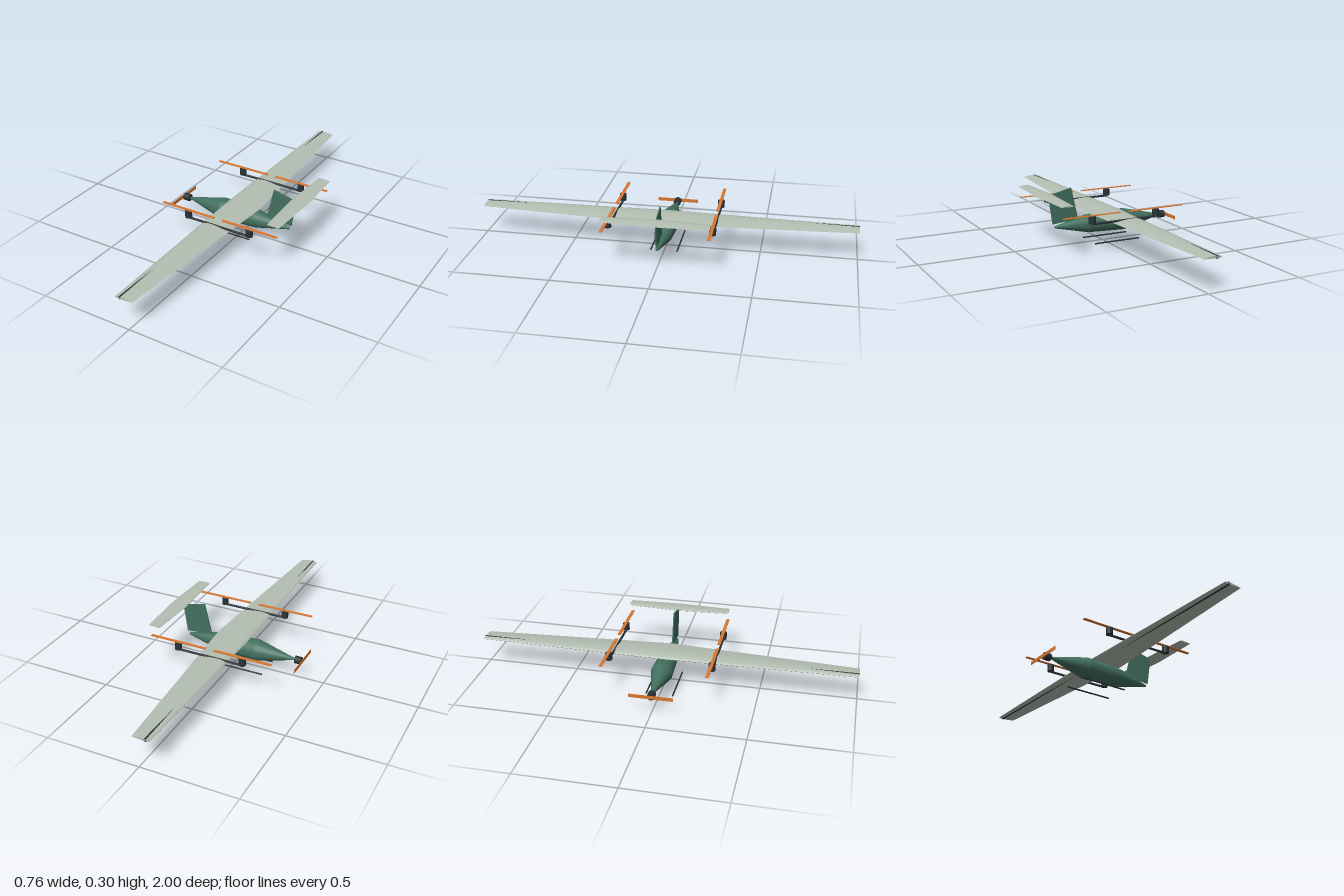
import * as THREE from 'three';
import { toCreasedNormals } from 'three/addons/utils/BufferGeometryUtils.js';

const mat = (color) => new THREE.MeshStandardMaterial({ color });
const green = mat(0x42705f), pale = mat(0xb4beb2), dark = mat(0x2b3236), orange = mat(0xd9772f);

// Closed aerofoil outline, counter-clockwise from the trailing edge over the top.
function aerofoil(thickness, n = 14) {
  const top = [], bottom = [];
  for (let i = 0; i <= n; i++) {
    const x = 0.5 * (1 + Math.cos((Math.PI * i) / n));
    const t = 5 * thickness * (0.2969 * Math.sqrt(x) - 0.126 * x - 0.3516 * x * x + 0.2843 * x ** 3 - 0.1036 * x ** 4);
    const camber = x < 0.4 ? 0.125 * (0.8 * x - x * x) : 0.0556 * (0.2 + 0.8 * x - x * x);
    top.push([x, camber + t]);
    if (i > 0 && i < n) bottom.unshift([x, camber - t]);
  }
  return [...top, ...bottom];
}

// Skins ribs [z, leadingX, trailingX, y] with one aerofoil section.
function wingGeometry(ribs, thickness) {
  const foil = aerofoil(thickness), n = foil.length, pos = [], idx = [];
  for (const [z, le, te, y] of ribs)
    for (const [u, v] of foil) pos.push(le + u * (te - le), y + v * (te - le), z);
  for (let i = 0; i < ribs.length - 1; i++)
    for (let j = 0; j < n; j++) {
      const k = (j + 1) % n, a = i * n + j, b = i * n + k;
      idx.push(a, b, b + n, a, b + n, a + n);
    }
  const last = (ribs.length - 1) * n;
  for (let j = 1; j < n - 1; j++) idx.push(0, j + 1, j, last, last + j, last + j + 1);
  const g = new THREE.BufferGeometry();
  g.setAttribute('position', new THREE.Float32BufferAttribute(pos, 3));
  g.setIndex(idx);
  return toCreasedNormals(g, 0.6);
}

export function createModel() {
  const model = new THREE.Group();
  const add = (name, geometry, material, x = 0, y = 0, z = 0) => {
    const mesh = new THREE.Mesh(geometry, material);
    mesh.name = name;
    mesh.position.set(x, y, z);
    model.add(mesh);
    return mesh;
  };
  // Cylinder along a chosen axis
  const rod = (name, axis, r, length, x, y, z, sides = 16) => {
    const g = new THREE.CylinderGeometry(r, r, length, sides);
    if (axis === 'x') g.rotateZ(Math.PI / 2);
    if (axis === 'z') g.rotateX(Math.PI / 2);
    return add(name, g, dark, x, y, z);
  };

  // Fuselage: tapered body, nose towards -x
  const profile = [[0, 0.275], [0.006, 0.275], [0.048, 0.09], [0.057, -0.125], [0.004, -0.342], [0, -0.342]]
    .map(([r, x]) => new THREE.Vector2(r, -x)).reverse();
  const body = new THREE.LatheGeometry(profile.reverse(), 40);
  body.rotateZ(Math.PI / 2);
  add('fuselage', toCreasedNormals(body, 0.2), green, 0, 0.1, 0);

  // Main wing with its spar
  add('wing', wingGeometry([[-1, -0.065, 0.03, 0.161], [0, -0.085, 0.1, 0.161], [1, -0.065, 0.03, 0.161]], 0.12), pale);
  rod('wingSpar', 'z', 0.008, 2, -0.04, 0.162, 0, 12);

  // Tail fin and stabiliser
  const finShape = new THREE.Shape(
    [[0.143, 0.13], [0.288, 0.117], [0.31, 0.27], [0.182, 0.3]].map(([x, y]) => new THREE.Vector2(x, y)));
  add('tailFin', new THREE.ExtrudeGeometry(finShape, { depth: 0.006, bevelEnabled: false }), green, 0, 0, -0.003);
  add('stabiliser', wingGeometry(
    [[-0.275, 0.297, 0.364, 0.271], [0, 0.282, 0.376, 0.271], [0.275, 0.297, 0.364, 0.271]], 0.1), pale);

  // Nose motor and propeller
  rod('noseMotor', 'x', 0.02, 0.035, -0.357, 0.1, 0, 24);
  rod('noseShaft', 'x', 0.003, 0.008, -0.377, 0.1, 0, 8);
  add('nosePropeller', new THREE.BoxGeometry(0.003, 0.018, 0.228), orange, -0.38, 0.1, 0);

  // Lift booms, motors, propellers and landing skids on both sides
  for (const side of [-1, 1]) {
    const z = side * 0.27;
    rod('liftBoom', 'x', 0.006, 0.36, 0.016, 0.169, z, 12);
    for (const x of [-0.164, 0.196]) {
      rod('liftMotor', 'y', 0.018, 0.037, x, 0.189, z, 24);
      rod('liftShaft', 'y', 0.003, 0.006, x, 0.209, z, 8);
      add('liftPropeller', new THREE.BoxGeometry(0.312, 0.003, 0.017), orange, x, 0.212, z);
    }
    rod('landingSkid', 'x', 0.004, 0.26, -0.052, 0.004, side * 0.07, 12);
  }
  return model;
}
